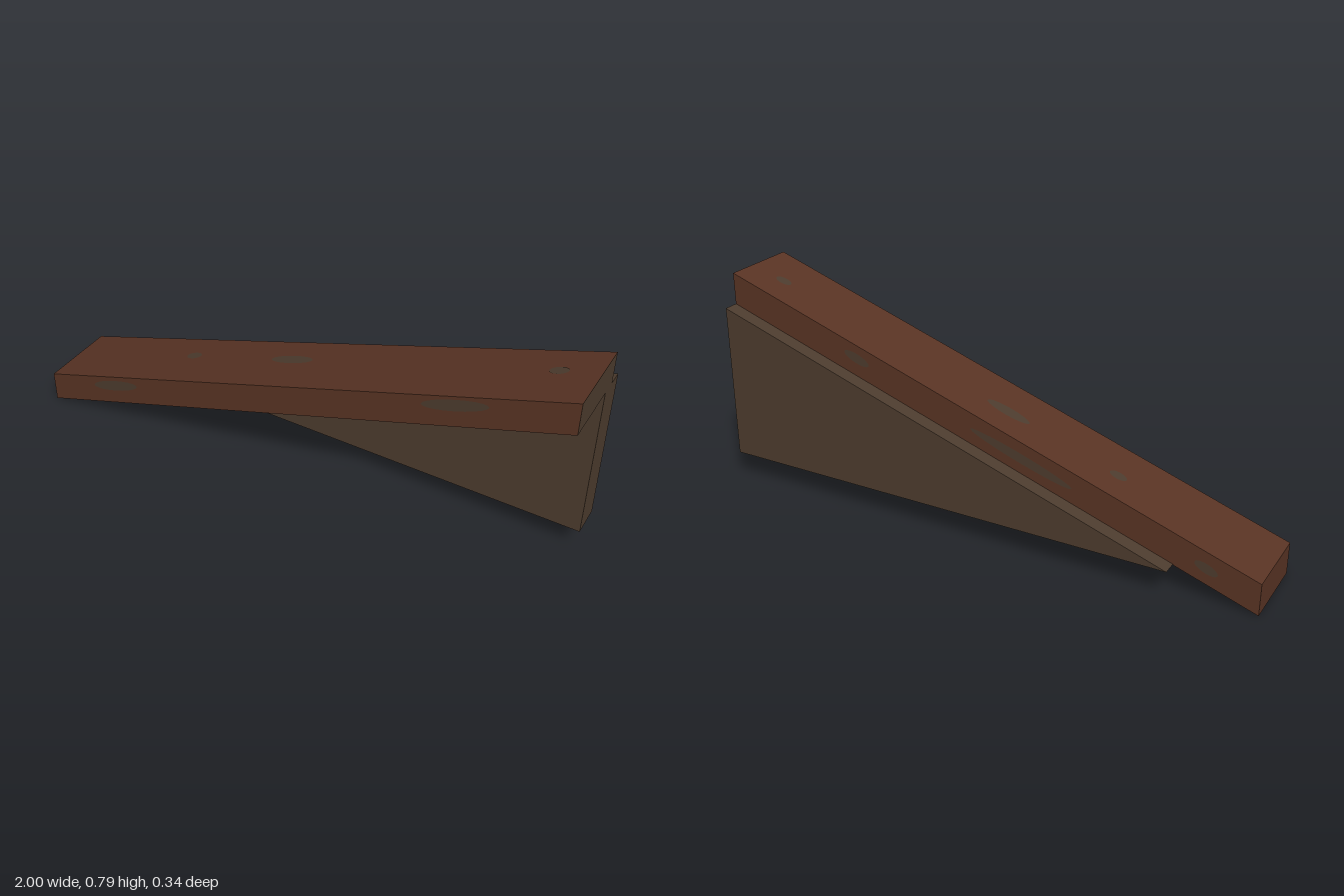
import * as THREE from 'three';

const SLOPE = 0.335; // rise of the beam per unit of x
const MID_Y = 0.3925, MID_Z = 0.0275; // beam centre
const HEIGHT = 0.115, DEPTH = 0.285;

// Slide vertices upward along x so that a level shape follows the slope
function shear(geometry) {
  const p = geometry.attributes.position;
  for (let i = 0; i < p.count; i++) p.setY(i, p.getY(i) + SLOPE * p.getX(i));
  geometry.computeVertexNormals();
  return geometry;
}

export function createModel() {
  const group = new THREE.Group();
  const rust = new THREE.MeshStandardMaterial({ name: 'rustBrown', color: 0x593424 });
  const timber = new THREE.MeshStandardMaterial({ name: 'greyBrown', color: 0x4d3c2e });

  const add = (name, geometry, material) => {
    const mesh = new THREE.Mesh(geometry, material);
    mesh.name = name;
    group.add(mesh);
    return mesh;
  };

  // Sloping rail with vertical ends; upper end and underside are bare timber
  const rail = add('slopingRail', shear(new THREE.BoxGeometry(2, HEIGHT, DEPTH)),
    [timber, rust, rust, timber, rust, rust]);
  rail.position.set(0, MID_Y, MID_Z);

  // Triangular support panel under the rear edge of the rail
  const outline = new THREE.Shape([
    new THREE.Vector2(-0.71, 0.1),
    new THREE.Vector2(1, 0.1),
    new THREE.Vector2(1, 0.67),
  ]);
  const panel = add('supportPanel',
    new THREE.ExtrudeGeometry(outline, { depth: 0.112, bevelEnabled: false }), timber);
  panel.position.z = -0.17;

  // Worn patches lying flat on the rail: face, x, offset across the face, half length, half width
  const patches = [
    ['front', -0.7, 0.02, 0.1, 0.022],
    ['front', 0.62, 0.025, 0.11, 0.022],
    ['back', 0.48, 0.01, 0.05, 0.018],
    ['back', -0.16, 0.0, 0.19, 0.018],
    ['back', -0.82, 0.0, 0.04, 0.018],
    ['top', -0.46, -0.025, 0.03, 0.02],
    ['top', -0.05, -0.025, 0.08, 0.024],
    ['top', 0.87, -0.025, 0.03, 0.02],
  ];
  const lift = 0.002;
  for (const [face, x, across, halfLength, halfWidth] of patches) {
    const g = new THREE.CircleGeometry(1, 20).scale(halfLength, halfWidth, 1);
    if (face === 'top') g.rotateX(-Math.PI / 2).translate(x, HEIGHT / 2 + lift, across);
    else if (face === 'back') g.rotateY(Math.PI).translate(x, across, -DEPTH / 2 - lift);
    else g.translate(x, across, DEPTH / 2 + lift);
    add(face + 'WornPatch', shear(g), timber).position.set(0, MID_Y, MID_Z);
  }

  return group;
}
